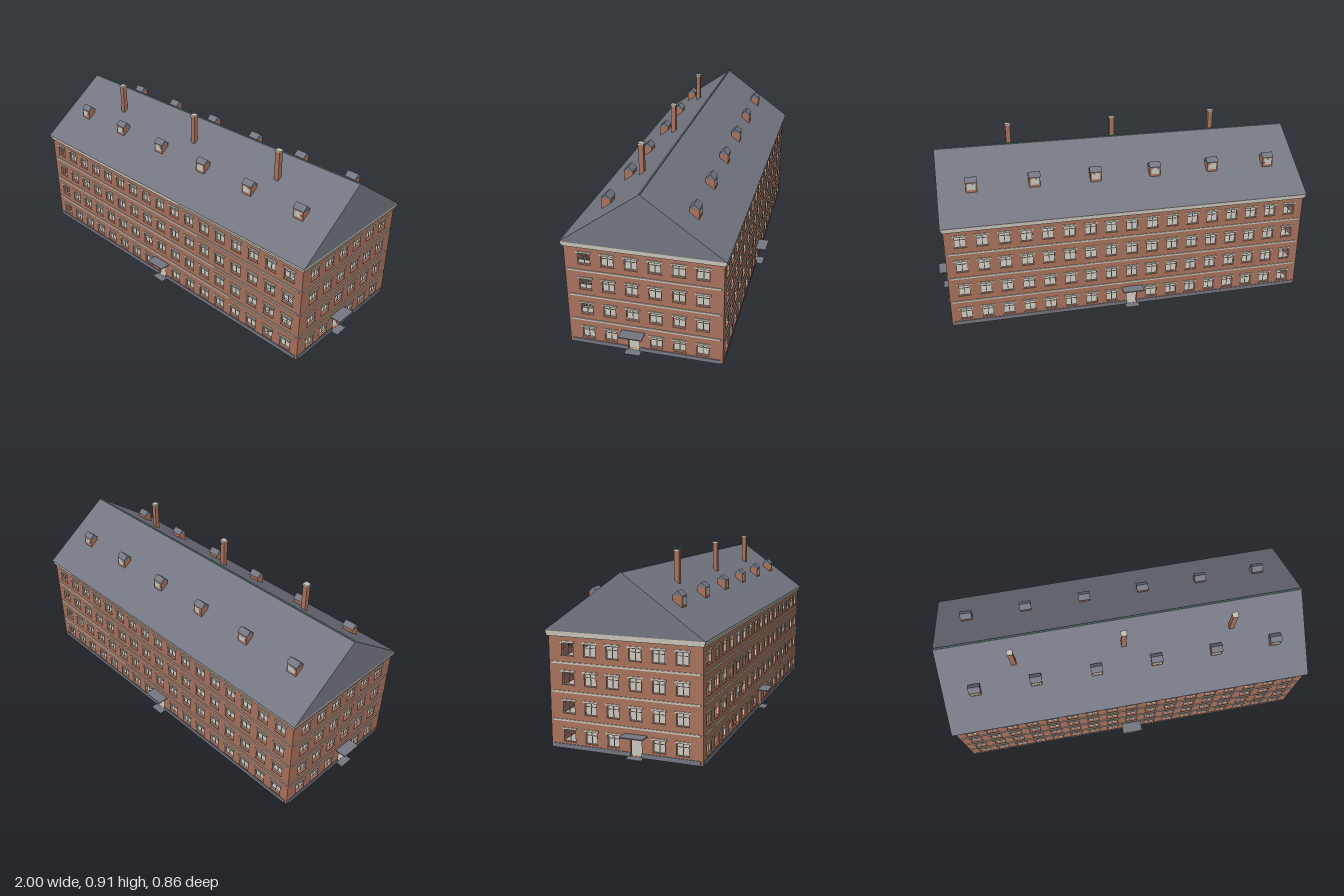
import * as THREE from 'three';
import { mergeGeometries } from 'three/addons/utils/BufferGeometryUtils.js';

const mat = (name, color) => Object.assign(new THREE.MeshStandardMaterial({ color }), { name });

const HALF_X = 0.943, HALF_Z = 0.372, BASE = 0.012, WALL_TOP = 0.54, WALL = 0.014;
const FLOOR = 0.1352, WIN_W = 0.058, WIN_H = 0.057, WIN_Y = 0.045;

// box given by its centre and size
const box = (x, y, z, w, h, d) => new THREE.BoxGeometry(w, h, d).translate(x, y, z);

function add(parent, name, geometry, material) {
  const mesh = new THREE.Mesh(Array.isArray(geometry) ? mergeGeometries(geometry) : geometry, material);
  mesh.name = name;
  parent.add(mesh);
  return mesh;
}

function rectHole(x0, y0, x1, y1) {
  const p = new THREE.Path();
  p.moveTo(x0, y0).lineTo(x0, y1).lineTo(x1, y1).lineTo(x1, y0).closePath();
  return p;
}

function rectShape(x0, y0, x1, y1) {
  const s = new THREE.Shape();
  s.moveTo(x0, y0).lineTo(x1, y0).lineTo(x1, y1).lineTo(x0, y1).closePath();
  return s;
}

export function createModel() {
  const model = new THREE.Group();
  model.name = 'brickBuilding';
  const brick = mat('brick', 0xa8725d);
  const stone = mat('stone', 0xc6c2b6);
  const slate = mat('slate', 0x747681);
  const concrete = mat('concrete', 0xb8b4aa);
  const frameMat = mat('windowFrame', 0xcac8c0);
  const copper = mat('ridgeCopper', 0x64847c);

  // One facade looking along +z, its outer face at z = 0
  function facade(name, half, inset, count, pitch, doorIndex) {
    const g = new THREE.Group();
    g.name = name;
    const shape = rectShape(-half + inset, BASE, half - inset, WALL_TOP);
    const frames = [], lintels = [], sills = [];
    const doorX = (doorIndex - (count - 1) / 2) * pitch;

    for (let row = 0; row < 4; row++) {
      for (let i = 0; i < count; i++) {
        const x = (i - (count - 1) / 2) * pitch, y = WIN_Y + row * FLOOR;
        lintels.push(box(x, y + WIN_H + 0.005, 0.0015, 0.072, 0.009, 0.005));
        if (row === 0 && i === doorIndex) {
          shape.holes.push(rectHole(x - 0.027, BASE + 0.003, x + 0.027, 0.1));
          continue;
        }
        shape.holes.push(rectHole(x - WIN_W / 2, y, x + WIN_W / 2, y + WIN_H));
        sills.push(box(x, y - 0.0015, 0.001, 0.064, 0.003, 0.006));
        // frame sides, mullion, head, bottom and transom
        for (const k of [-1, 0, 1])
          frames.push(box(x + k * (WIN_W / 2 - 0.0015), y + WIN_H / 2, -0.007, 0.003, WIN_H, 0.004));
        for (const h of [0.0015, WIN_H * 0.7, WIN_H - 0.0015])
          frames.push(box(x, y + h, -0.007, WIN_W - 0.004, 0.0025, 0.0035));
      }
    }
    add(g, 'wall', new THREE.ExtrudeGeometry(shape, { depth: WALL, bevelEnabled: false }).translate(0, 0, -WALL), brick);
    add(g, 'windowFrames', frames, frameMat);
    add(g, 'lintels', lintels, stone);
    add(g, 'sills', sills, brick);

    // stone string courses
    const end = half - 0.012;
    add(g, 'bands', [0.1465, 0.281, 0.4165].map((y) => box(0, y, 0.001, end * 2, 0.009, 0.006)), stone);

    // plinth, interrupted by the door
    const plinth = [[-end, doorX - 0.027], [doorX + 0.027, end]].map(([a, b]) =>
      box((a + b) / 2, 0.0225, 0.001, b - a, 0.021, 0.005));
    add(g, 'plinth', plinth, slate);

    // entrance canopy and doorstep
    add(g, 'canopy', box(doorX, 0.1155, 0.0285, 0.112, 0.005, 0.057), slate);
    add(g, 'doorstep', box(doorX, 0.0125, 0.018, 0.075, 0.003, 0.042), slate);
    model.add(g);
    return g;
  }

  facade('frontFacade', HALF_X, 0, 17, 0.1083, 8).position.z = HALF_Z;
  const back = facade('backFacade', HALF_X, 0, 17, 0.1083, 8);
  back.position.z = -HALF_Z;
  back.rotation.y = Math.PI;
  const right = facade('rightFacade', HALF_Z, WALL, 6, 0.111, 2);
  right.position.x = -HALF_X;
  right.rotation.y = -Math.PI / 2;
  const left = facade('leftFacade', HALF_Z, WALL, 6, 0.111, 2);
  left.position.x = HALF_X;
  left.rotation.y = Math.PI / 2;
  // the far end mirrors its door so both end doors share one z
  right.scale.x = -1;

  // ground slab and upper floors with a stairwell
  const ix = HALF_X - WALL, iz = HALF_Z - WALL;
  add(model, 'groundSlab', box(0, BASE + 0.0015, 0, HALF_X * 2 - 0.002, 0.003, HALF_Z * 2 - 0.002), concrete);
  for (let i = 1; i < 4; i++) {
    const floor = rectShape(-ix, -iz, ix, iz);
    floor.holes.push(rectHole(0.66, -0.355, 0.88, -0.27));
    const geo = new THREE.ExtrudeGeometry(floor, { depth: 0.008, bevelEnabled: false });
    add(model, 'floor', geo.rotateX(-Math.PI / 2).scale(1, 1, -1).index
      ? geo : geo.scale(1, 1, -1), concrete).position.y = BASE + i * FLOOR - 0.005;
  }

  // stair flights: stepped top, sloping underside
  const steps = 9, run = 0.23;
  const flight = new THREE.Shape();
  flight.moveTo(0, -0.012);
  flight.lineTo(run, FLOOR - 0.015);
  flight.lineTo(run, FLOOR);
  for (let i = steps; i > 0; i--) {
    flight.lineTo(((i - 1) * run) / steps, (i * FLOOR) / steps);
    flight.lineTo(((i - 1) * run) / steps, ((i - 1) * FLOOR) / steps);
  }
  flight.closePath();
  const flightGeo = new THREE.ExtrudeGeometry(flight, { depth: 0.085, bevelEnabled: false });
  for (let i = 0; i < 3; i++)
    add(model, 'stairFlight', flightGeo, concrete).position.set(0.65, BASE + i * FLOOR, 0.27);

  // two-step cornice
  add(model, 'cornice', [
    box(0, 0.5435, 0, 1.9, 0.011, 0.758),
    box(0, 0.5555, 0, 1.908, 0.013, 0.766),
  ], stone);

  // gabled prism along x, used for the main roof and the dormers
  function gable(halfZ, y0, y1, length) {
    const s = new THREE.Shape();
    s.moveTo(-halfZ, y0).lineTo(halfZ, y0).lineTo(0, y1).closePath();
    return new THREE.ExtrudeGeometry(s, { depth: length, bevelEnabled: false })
      .translate(0, 0, -length / 2).rotateY(Math.PI / 2);
  }
  add(model, 'roof', gable(0.386, 0.562, 0.839, 1.912), slate);
  add(model, 'ridge', box(0, 0.839, 0, 1.912, 0.006, 0.007), copper);

  // chimneys on the front slope
  for (const x of [-0.57, 0, 0.567]) {
    add(model, 'chimney', box(x, 0.825, 0.111, 0.026, 0.16, 0.024), brick);
    add(model, 'chimneyCap', box(x, 0.9085, 0.111, 0.031, 0.007, 0.029), stone);
  }

  // dormers on both slopes
  for (const side of [0, 1]) {
    for (let i = 0; i < 6; i++) {
      const d = new THREE.Group();
      d.name = 'dormer';
      add(d, 'dormerBody', box(0, 0.703, 0, 0.056, 0.054, 0.045), brick);
      add(d, 'dormerFrame', box(0, 0.706, 0.0225, 0.042, 0.034, 0.003), stone);
      add(d, 'dormerPane', box(0, 0.706, 0.0235, 0.032, 0.024, 0.003), frameMat);
      add(d, 'dormerRoof', gable(0.025, 0.728, 0.751, 0.062), slate);
      d.position.set(-0.788 + i * 0.315, 0, side ? -0.205 : 0.205);
      d.rotation.y = side ? Math.PI : 0;
      model.add(d);
    }
  }
  return model;
}
